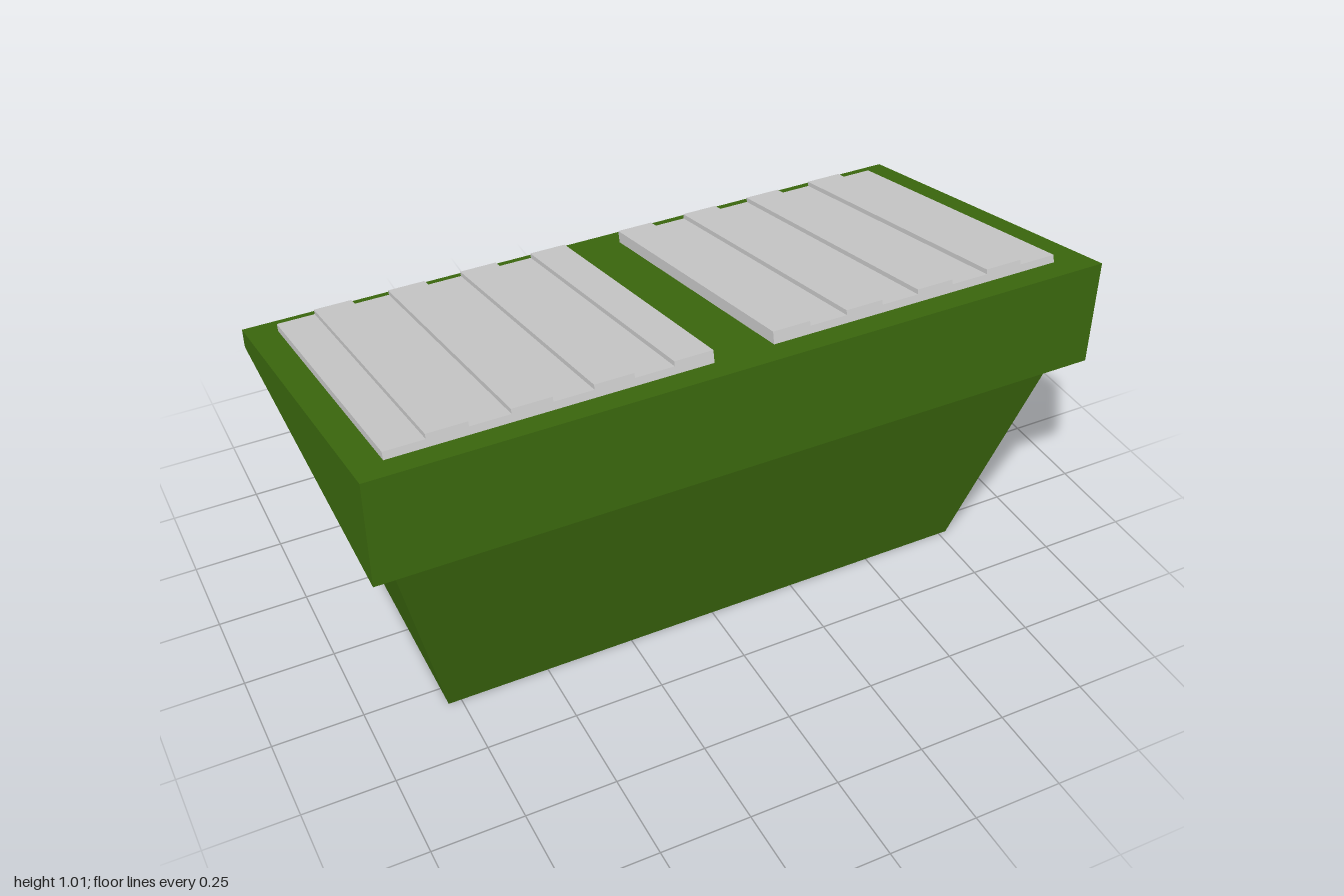
import * as THREE from 'three';

const green = new THREE.MeshStandardMaterial({ color: 0x3c6a0e, flatShading: true });
const grey = new THREE.MeshStandardMaterial({ color: 0xcccccc, flatShading: true });

const DEPTH = 0.527, RIM_BOTTOM = 0.69, BACK_TOP = 0.747, FRONT_TOP = 0.998;
const SLOPE = Math.atan2(FRONT_TOP - BACK_TOP, DEPTH * 2);

function addMesh(parent, name, geometry, material) {
  const mesh = new THREE.Mesh(geometry, material);
  mesh.name = name;
  parent.add(mesh);
  return mesh;
}

// Box whose corners are placed by a rule taking the signs of x, y and z
function cornerBox(rule) {
  const geometry = new THREE.BoxGeometry(2, 2, 2);
  const p = geometry.attributes.position;
  for (let i = 0; i < p.count; i++) p.setXYZ(i, ...rule(p.getX(i), p.getY(i), p.getZ(i)));
  geometry.computeVertexNormals();
  return geometry;
}

// Lid of eight alternating low and raised planks, lying on the sloped top
function createLid(name, x0, x1, zBack, zFront, raisedFirst) {
  const lid = new THREE.Group();
  lid.name = name;
  const width = (x1 - x0) / 8;
  const length = (zFront - zBack) / Math.cos(SLOPE);
  for (let i = 0; i < 8; i++) {
    const raised = (i % 2 === 0) === raisedFirst;
    const height = raised ? 0.034 : 0.021;
    const plank = addMesh(lid, raised ? 'raisedPlank' : 'lowPlank',
      new THREE.BoxGeometry(width, height, length), grey);
    plank.position.set(x0 + width * (i + 0.5), height / 2, 0);
  }
  const z = (zBack + zFront) / 2;
  lid.position.set(0, (FRONT_TOP + BACK_TOP) / 2 + z * Math.tan(SLOPE), z);
  lid.rotation.x = -SLOPE;
  return lid;
}

export function createModel() {
  const model = new THREE.Group();
  model.name = 'skipContainer';

  // Tapered container body
  addMesh(model, 'body', cornerBox((x, y, z) => y > 0
    ? [x * 0.939 - 0.003, RIM_BOTTOM, z * 0.475]
    : [x * 0.78 - 0.006, 0, z * 0.312]), green);

  // Overhanging upper box with a top that slopes down to the back
  addMesh(model, 'upperBox', cornerBox((x, y, z) =>
    [x, y < 0 ? RIM_BOTTOM : z > 0 ? FRONT_TOP : BACK_TOP, z * DEPTH]), green);

  // Pair of ribbed lids
  model.add(createLid('rightLid', -0.92, -0.083, -0.451, 0.449, false));
  model.add(createLid('leftLid', 0.083, 0.912, -0.448, 0.444, true));

  return model;
}
